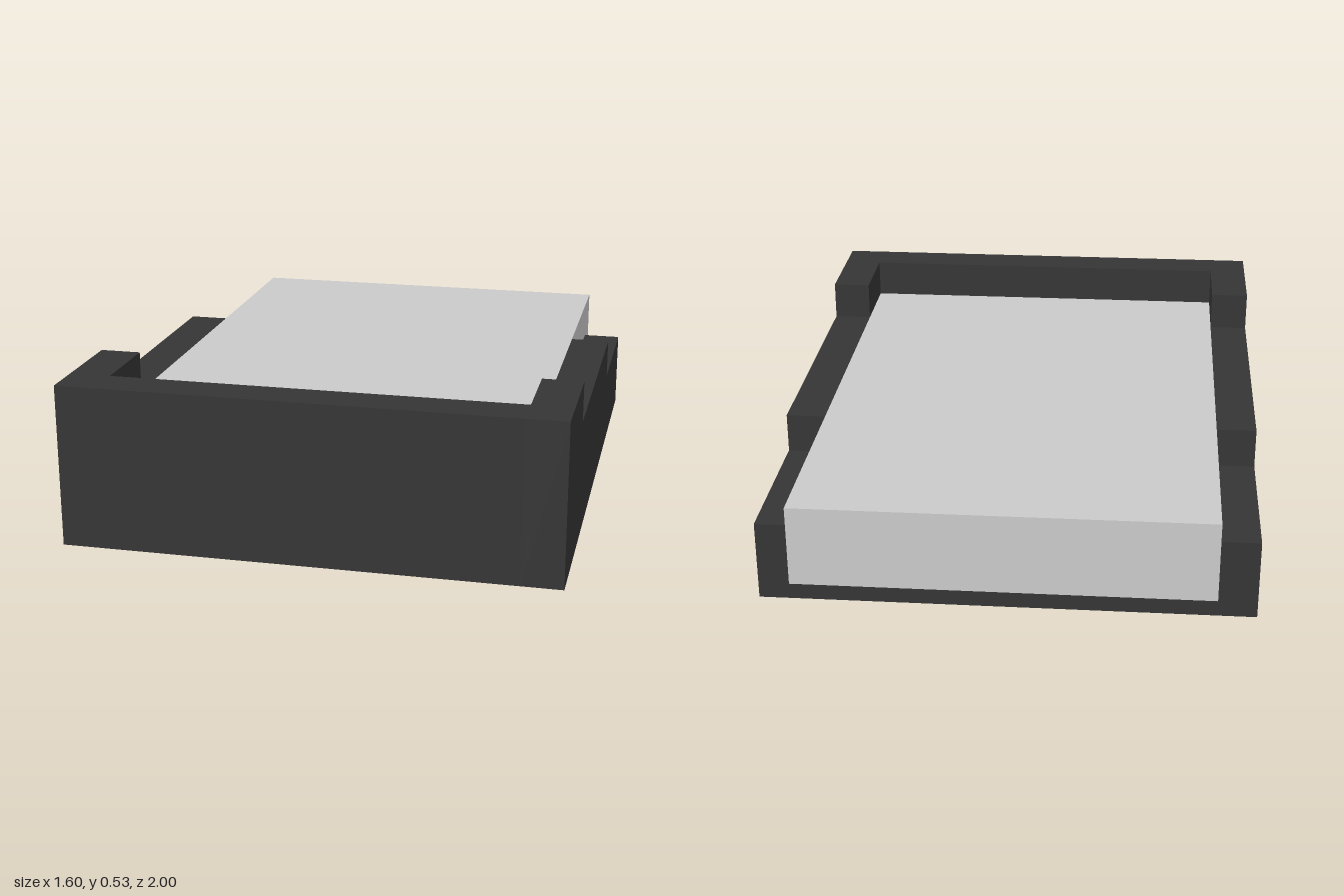
import * as THREE from 'three';

export function createModel() {
  const model = new THREE.Group();
  const dark = new THREE.MeshStandardMaterial({ name: 'dark frame', color: 0x353535 });
  const light = new THREE.MeshStandardMaterial({ name: 'light grey slab', color: 0xcacaca });

  const W = 0.8, inner = 0.667, T = 0.133;   // half width, inner half width, wall thickness
  const back = -0.867, front = 1;

  // Box given by its lower and upper corners
  function box(name, material, [x0, y0, z0], [x1, y1, z1]) {
    const mesh = new THREE.Mesh(new THREE.BoxGeometry(x1 - x0, y1 - y0, z1 - z0), material);
    mesh.position.set((x0 + x1) / 2, (y0 + y1) / 2, (z0 + z1) / 2);
    mesh.name = name;
    model.add(mesh);
  }

  // Tray floor and tall front wall
  box('floor', dark, [-inner, 0, back], [inner, T, front - T]);
  box('frontWall', dark, [-inner, 0, front - T], [inner, 0.533, front]);

  // Stepped side walls: profile in (z, y), stepping down towards the back
  const profile = new THREE.Shape([
    [back, 0], [front, 0], [front, 0.533], [0.6, 0.533],
    [0.6, 0.4], [-0.333, 0.4], [-0.333, 0.267], [back, 0.267],
  ].map(([z, y]) => new THREE.Vector2(z, y)));
  const wall = new THREE.ExtrudeGeometry(profile, { depth: W - inner, bevelEnabled: false });
  wall.rotateY(-Math.PI / 2);
  for (const [name, x] of [['leftWall', W], ['rightWall', -inner]]) {
    const mesh = new THREE.Mesh(wall, dark);
    mesh.name = name;
    mesh.position.x = x;
    model.add(mesh);
  }

  // Slab lying in the tray and overhanging the back
  box('slab', light, [-inner, T, -1], [inner, 0.4, front - T]);

  return model;
}
